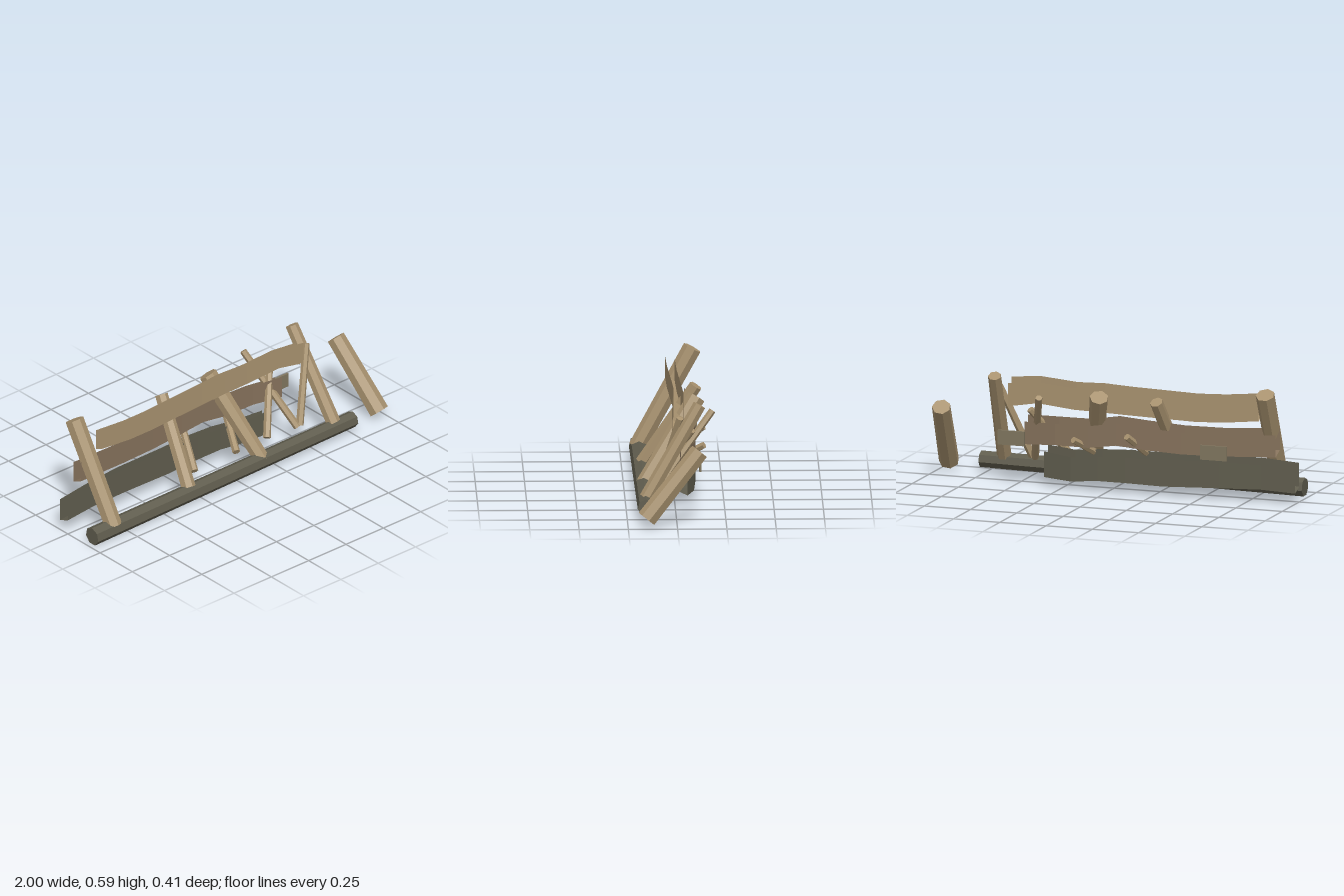
import * as THREE from 'three';

const mat = (color) => new THREE.MeshStandardMaterial({ color, flatShading: true, roughness: 1, side: THREE.DoubleSide });

// Tapered log running between two points
function log(name, from, to, r0, r1, sides, material, turn = 0) {
  const a = new THREE.Vector3(...from), b = new THREE.Vector3(...to);
  const dir = b.clone().sub(a);
  const geo = new THREE.CylinderGeometry(r1, r0, dir.length(), sides, 1, false, turn);
  const mesh = new THREE.Mesh(geo, material);
  mesh.position.copy(a).add(b).multiplyScalar(0.5);
  mesh.quaternion.setFromUnitVectors(new THREE.Vector3(0, 1, 0), dir.normalize());
  mesh.name = name;
  return mesh;
}

// Warped hollow rail, open at its top and ends; each station is [x, frontZ, topY, bottomY, thickness]
function rail(name, stations, drop, material) {
  const pos = [], index = [];
  for (const [x, z, top, bottom, t] of stations) {
    pos.push(x, top, z, x, bottom, z, x, bottom - drop, z - t, x, top - drop, z - t);
  }
  for (let i = 0; i < stations.length - 1; i++) {
    for (let k = 0; k < 3; k++) {
      const a = i * 4 + k, b = a + 1;
      index.push(a, b, b + 4, a, b + 4, a + 4);
    }
  }
  const geo = new THREE.BufferGeometry();
  geo.setAttribute('position', new THREE.Float32BufferAttribute(pos, 3));
  geo.setIndex(index);
  const flat = geo.toNonIndexed();
  flat.computeVertexNormals();
  const mesh = new THREE.Mesh(flat, material);
  mesh.name = name;
  return mesh;
}

export function createModel() {
  const group = new THREE.Group();
  group.name = 'brokenFence';
  const tan = mat(0xa8926f), brown = mat(0x86725c), olive = mat(0x605d4e), grey = mat(0x80765f);

  // Fallen log along the ground
  group.add(log('groundLog', [-0.973, 0.0445, 0.157], [0.775, 0.067, 0.155], 0.049, 0.043, 7, olive, -Math.PI / 2));

  // Thick posts leaning back
  const posts = [
    [[-0.837, 0.058, 0.165], [-0.858, 0.566, -0.115], 0.046, 0.049],
    [[-0.322, 0.08, 0.15], [-0.272, 0.488, -0.12], 0.038, 0.034],
    [[0.165, 0.06, 0.16], [0.038, 0.49, -0.118], 0.04, 0.048],
    [[0.648, 0.092, 0.15], [0.602, 0.562, -0.12], 0.038, 0.034],
    [[0.949, 0.044, 0.156], [0.892, 0.38, -0.115], 0.052, 0.048],
  ];
  for (const [a, b, r0, r1] of posts) group.add(log('post', a, b, r0, r1, 7, tan));

  // Thin stakes
  const stakes = [
    [[-0.23, 0.115, 0.09], [-0.125, 0.305, -0.155]],
    [[0.05, 0.12, 0.09], [0.165, 0.268, -0.152]],
    [[0.46, 0.11, 0.09], [0.337, 0.48, -0.19]],
    [[0.255, 0.125, 0.09], [0.423, 0.395, -0.085]],
    [[0.475, 0.115, 0.09], [0.613, 0.495, -0.02]],
  ];
  for (const [a, b] of stakes) group.add(log('stake', a, b, 0.02, 0.018, 6, tan));

  // Three warped rails
  group.add(rail('topRail', [
    [-0.79, 0.026, 0.543, 0.432, 0.05], [-0.6, 0.02, 0.525, 0.412, 0.05],
    [-0.45, 0.013, 0.52, 0.407, 0.05], [-0.1, 0.003, 0.532, 0.417, 0.05],
    [0.05, 0.001, 0.54, 0.422, 0.05], [0.2, 0.003, 0.535, 0.425, 0.05],
    [0.4, 0.013, 0.55, 0.443, 0.052], [0.56, 0.018, 0.535, 0.415, 0.054],
  ], 0.024, tan));
  group.add(rail('middleRail', [
    [-0.9, -0.014, 0.378, 0.265, 0.06], [-0.6, -0.03, 0.362, 0.252, 0.06],
    [-0.4, -0.04, 0.362, 0.25, 0.06], [-0.2, -0.047, 0.375, 0.26, 0.06],
    [-0.05, -0.05, 0.387, 0.272, 0.06], [0.1, -0.05, 0.362, 0.25, 0.06],
    [0.28, -0.045, 0.36, 0.25, 0.06], [0.455, -0.025, 0.355, 0.238, 0.055],
  ], 0.027, brown));
  group.add(rail('bottomRail', [
    [-1, 0, 0.203, 0.08, 0.06], [-0.82, -0.01, 0.217, 0.09, 0.062],
    [-0.6, -0.02, 0.222, 0.085, 0.068], [-0.3, -0.028, 0.212, 0.075, 0.075],
    [-0.1, -0.032, 0.212, 0.08, 0.078], [0.05, -0.032, 0.205, 0.08, 0.078],
    [0.2, -0.025, 0.19, 0.065, 0.075], [0.355, -0.01, 0.203, 0.07, 0.055],
  ], 0.025, olive));

  // Loose board scraps at the back
  for (const x of [-0.583, 0.51]) {
    const scrap = new THREE.Mesh(new THREE.BoxGeometry(0.142, 0.075, 0.012), grey);
    scrap.position.set(x, 0.248, -0.125);
    scrap.name = 'boardScrap';
    group.add(scrap);
  }
  return group;
}
